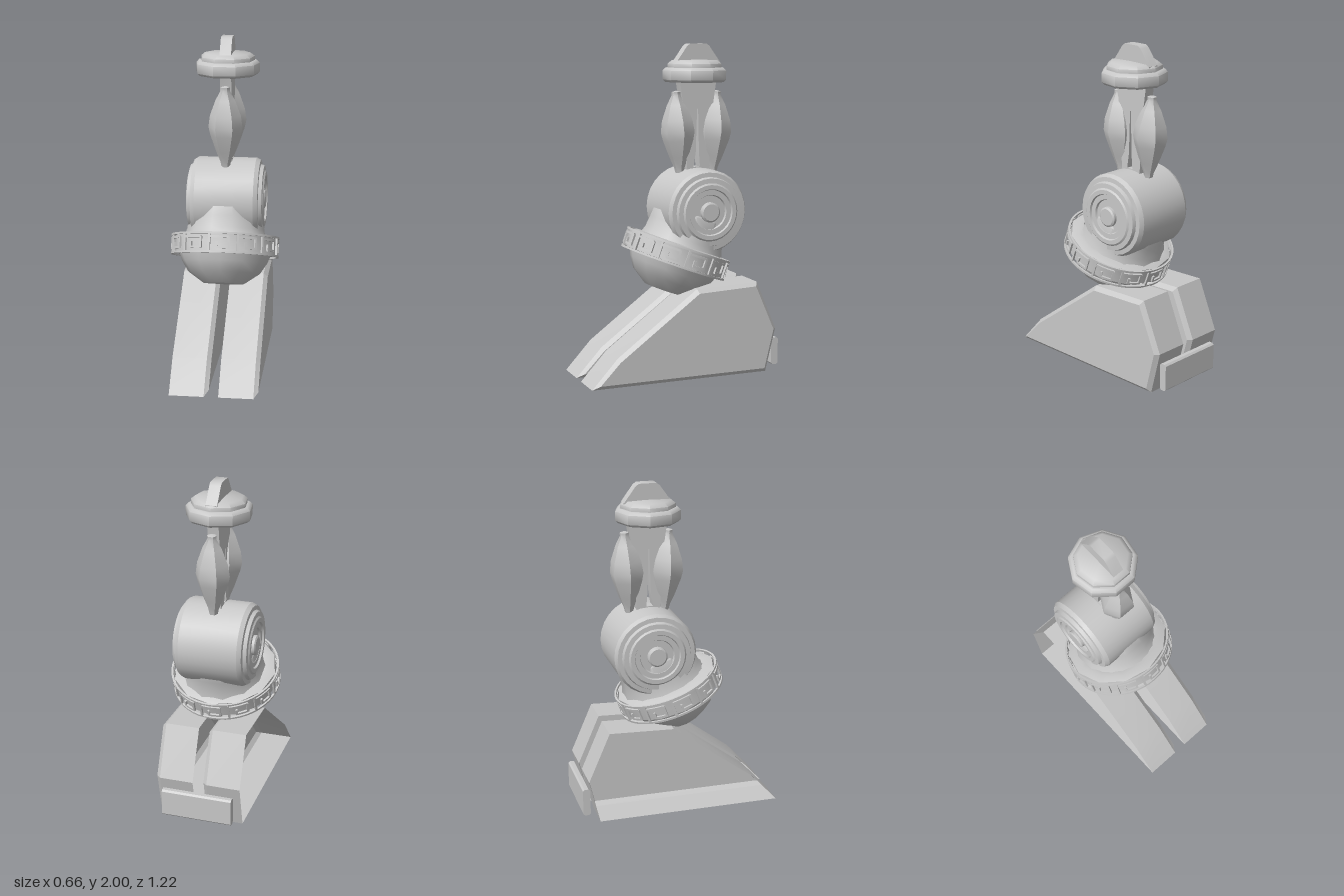
import * as THREE from 'three';
import { toCreasedNormals } from 'three/addons/utils/BufferGeometryUtils.js';

// Double sided because the foot slabs and the ankle cup are open shells
const grey = new THREE.MeshStandardMaterial({ color: 0xc8c8c8, side: THREE.DoubleSide });
grey.name = 'light grey';

function add(parent, name, geometry, crease = 0.6) {
  const mesh = new THREE.Mesh(toCreasedNormals(geometry, crease), grey);
  mesh.name = name;
  parent.add(mesh);
  return mesh;
}

const lathe = (points, sides, start = 0) =>
  new THREE.LatheGeometry(points.map(([r, y]) => new THREE.Vector2(r, y)), sides, start);

// Extrudes a (z, y) outline along +x, starting at x0
function extrudeX(outline, x0, width, hole) {
  const toPoints = (list) => list.map(([z, y]) => new THREE.Vector2(-z, y));
  const shape = new THREE.Shape(toPoints(outline));
  if (hole) shape.holes.push(new THREE.Path(toPoints(hole)));
  const g = new THREE.ExtrudeGeometry(shape, { depth: width, bevelEnabled: false });
  return g.rotateY(Math.PI / 2).translate(x0, 0, 0);
}

// Box wrapped around the y axis
function bentBox(width, height, depth, radius, angle, y, segments) {
  const g = new THREE.BoxGeometry(width, height, depth, segments, 1, 1);
  const p = g.attributes.position;
  for (let i = 0; i < p.count; i++) {
    const a = angle + p.getX(i) / radius;
    const r = radius + p.getZ(i);
    p.setXYZ(i, Math.sin(a) * r, p.getY(i) + y, Math.cos(a) * r);
  }
  return g;
}

// Foot half: hollow wedge, open on its -x side and chamfered on its +x side
function footSlab(x0) {
  const outer = [[0.61, 0], [0.45, 0.175], [-0.055, 0.55], [-0.45, 0.565],
    [-0.58, 0.265], [-0.515, 0]];
  const inner = [[0.565, 0.025], [0.44, 0.155], [-0.062, 0.525], [-0.435, 0.541],
    [-0.556, 0.265], [-0.497, 0.025]];
  const sections = [[x0, outer], [x0 + 0.205, outer], [x0 + 0.23, inner]];
  const n = outer.length, positions = [], index = [];
  for (const [x, outline] of sections)
    for (const [z, y] of outline) positions.push(x, y, z);
  for (let s = 0; s < 2; s++)
    for (let i = 0; i < n; i++) {
      const a = s * n + i, b = s * n + (i + 1) % n;
      index.push(a, b, b + n, a, b + n, a + n);
    }
  for (let i = 1; i < n - 1; i++) index.push(2 * n, 2 * n + i, 2 * n + i + 1);
  // Outlines run from toe over the top to the heel, seen from -x as clockwise
  for (let i = 0; i < index.length; i += 3) {
    const swap = i >= 12 * n ? 0 : 1;
    if (swap) [index[i + 1], index[i + 2]] = [index[i + 2], index[i + 1]];
  }
  const g = new THREE.BufferGeometry();
  g.setAttribute('position', new THREE.Float32BufferAttribute(positions, 3));
  g.setIndex(index);
  return g;
}

export function createModel() {
  const model = new THREE.Group();
  model.name = 'mechanicalLeg';

  // Foot
  add(model, 'rightFootSlab', footSlab(-0.26), 0.2);
  add(model, 'leftFootSlab', footSlab(0.03), 0.2);
  add(model, 'heelBar', extrudeX([[-0.565, 0.04], [-0.565, 0.19], [-0.575, 0.2], [-0.6, 0.2],
    [-0.61, 0.19], [-0.61, 0.04], [-0.6, 0.03], [-0.575, 0.03]], -0.215, 0.43), 0.2);

  // Tilted ankle cup and shell
  const ankle = new THREE.Group();
  ankle.name = 'ankle';
  ankle.position.set(0, 0.73, -0.015);
  ankle.rotation.x = -0.36;
  model.add(ankle);
  add(ankle, 'ankleCup', lathe([[0, -0.235], [0.125, -0.23], [0.22, -0.165], [0.262, -0.1],
    [0.28, -0.055], [0.314, -0.05], [0.314, 0.052], [0.272, 0.066], [0.245, 0.066]], 12), 0.55);
  const shell = add(ankle, 'ankleShell', lathe([[0.268, 0.05], [0.25, 0.1], [0.242, 0.17],
    [0.235, 0.25], [0.2, 0.3]], 12, Math.PI / 12));
  shell.position.z = -0.018;
  shell.scale.x = 0.96;

  // Openwork key-pattern band
  const band = new THREE.Group();
  band.name = 'keyPatternBand';
  ankle.add(band);
  const R = 0.325, depth = 0.012, count = 12;
  for (const y of [-0.056, 0.056])
    add(band, 'bandRail', bentBox(Math.PI * 2 * R, 0.012, depth, R, 0, y, 48));
  const strokes = [ // centre along band, centre height, width, height
    [-0.062, 0, 0.013, 0.1], [0, 0.033, 0.112, 0.013], [0.055, 0, 0.013, 0.07],
    [0.018, -0.029, 0.072, 0.013], [-0.014, -0.013, 0.013, 0.035],
  ];
  for (let i = 0; i < count; i++)
    for (const [u, y, w, h] of strokes)
      add(band, 'keyStroke', bentBox(w, h, depth, R, (i / count) * Math.PI * 2 + u / R, y, 3));

  // Hinge drum with stepped, mirrored end caps
  const side = [[0.25, 0.178], [0.236, 0.203], [0.21, 0.205], [0.203, 0.226], [0.175, 0.228],
    [0.165, 0.236], [0.14, 0.236], [0.135, 0.224], [0.105, 0.224], [0.1, 0.212], [0.06, 0.212],
    [0.06, 0.23], [0.05, 0.237], [0, 0.237]];
  const profile = [...side.map(([r, x]) => [r, -x]).reverse(), ...side];
  const drum = add(model, 'hingeDrum', lathe(profile, 28).rotateZ(-Math.PI / 2), 0.5);
  drum.position.set(0, 1.005, -0.145);

  // Shin plate with a narrow slit, rising into the top fin
  add(model, 'shinPlate', extrudeX([[-0.08, 1.2], [-0.065, 1.4], [-0.055, 1.6], [-0.03, 1.77],
    [0, 1.88], [-0.075, 1.985], [-0.095, 2], [-0.2, 2], [-0.22, 1.985], [-0.29, 1.89],
    [-0.265, 1.77], [-0.24, 1.6], [-0.23, 1.4], [-0.215, 1.2]], -0.034, 0.068,
  [[-0.118, 1.26], [-0.132, 1.35], [-0.14, 1.61], [-0.147, 1.61], [-0.153, 1.35],
    [-0.16, 1.26]]), 0.8);

  // Spindle pistons in front of and behind the shin
  const spindle = [[0, -0.25], [0.026, -0.245], [0.032, -0.215], [0.058, -0.15], [0.092, -0.05],
    [0.103, 0], [0.093, 0.07], [0.058, 0.165], [0.027, 0.222], [0.028, 0.242], [0, 0.25]];
  for (const [name, z, tilt] of [['frontPiston', -0.028, 0.05], ['rearPiston', -0.27, -0.05]]) {
    const piston = add(model, name, lathe(spindle, 6, Math.PI / 6), 0.8);
    piston.position.set(0, 1.47, z);
    piston.rotation.x = tilt;
  }

  // Knee collar
  const collar = add(model, 'kneeCollar', lathe([[0, 1.77], [0.178, 1.77], [0.195, 1.785],
    [0.195, 1.84], [0.178, 1.857], [0.165, 1.857], [0.165, 1.88], [0.14, 1.9], [0, 1.905]],
  9, Math.PI / 9), 0.9);
  collar.position.z = -0.14;

  return model;
}
